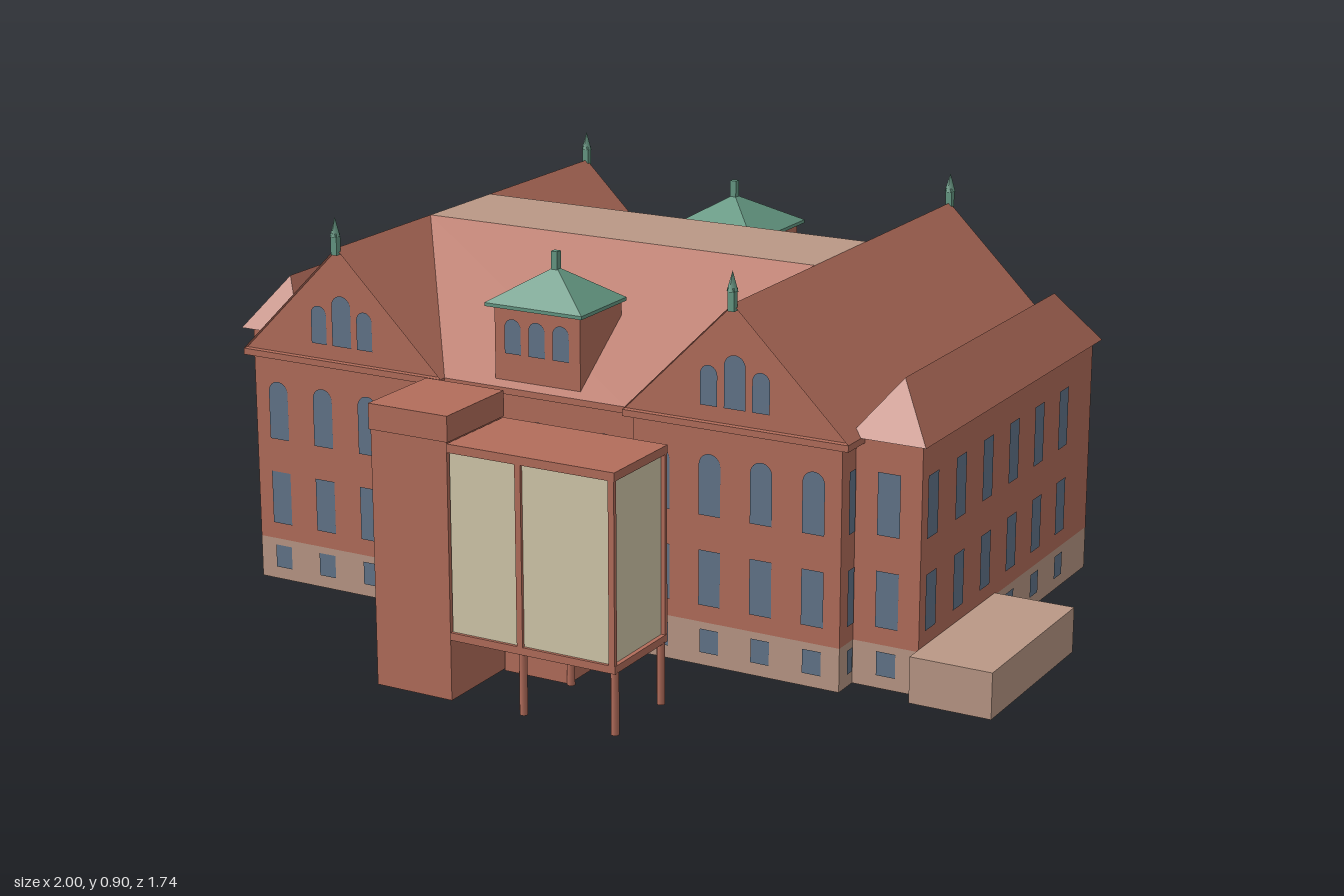
import * as THREE from 'three';

const mat = (name, color) => {
  const m = new THREE.MeshStandardMaterial({ color, side: THREE.DoubleSide });
  m.name = name;
  return m;
};

export function createModel() {
  const root = new THREE.Group();
  root.name = 'schoolhouse';
  const brick = mat('brick', 0xb36d5b), stone = mat('stone', 0xba9886), cream = mat('cream', 0xd3c9ab),
    glass = mat('glass', 0x62758a), copper = mat('copper', 0x659883);
  const CX = -0.105; // axis of the main building
  const EAVE = 0.56, RIDGE = 0.83;

  const add = (name, geo, m, x = 0, y = 0, z = 0) => {
    const mesh = new THREE.Mesh(geo, m);
    mesh.name = name;
    mesh.position.set(x, y, z);
    root.add(mesh);
    return mesh;
  };
  const box = (name, m, x0, x1, y0, y1, z0, z1) =>
    add(name, new THREE.BoxGeometry(x1 - x0, y1 - y0, z1 - z0), m, (x0 + x1) / 2, (y0 + y1) / 2, (z0 + z1) / 2);

  // flat polygons, each a loop of [x, y, z] corners
  const faces = (name, m, polys) => {
    const pos = [];
    for (const p of polys)
      for (let i = 1; i < p.length - 1; i++) pos.push(...p[0], ...p[i], ...p[i + 1]);
    const g = new THREE.BufferGeometry();
    g.setAttribute('position', new THREE.Float32BufferAttribute(pos, 3));
    g.computeVertexNormals();
    return add(name, g, m);
  };
  // upright walls along a closed plan of [x, z] corners
  const walls = (name, m, plan, y0, y1) => faces(name, m, plan.map(([x, z], i) => {
    const [u, w] = plan[(i + 1) % plan.length];
    return [[x, y0, z], [u, y0, w], [u, y1, w], [x, y1, z]];
  }));
  const rect = (x0, x1, z0, z1) => [[x0, z0], [x1, z0], [x1, z1], [x0, z1]];

  // thin window plate, facing the given turn about y
  const pane = (x, z, turn, y0, y1, w, arch = false, m = glass, name = 'window') => {
    const s = new THREE.Shape(), r = w / 2, h = y1 - y0;
    s.moveTo(-r, 0);
    s.lineTo(r, 0);
    if (arch) s.absarc(0, h - r, r, 0, Math.PI, false);
    else { s.lineTo(r, h); s.lineTo(-r, h); }
    s.closePath();
    const d = 0.003;
    const p = add(name, new THREE.ShapeGeometry(s, 8), m, x + Math.sin(turn) * d, y0, z + Math.cos(turn) * d);
    p.rotation.y = turn;
  };
  // column of three windows, basement to upper floor
  const bay = (x, z, turn, arch, w = 0.053) => {
    pane(x, z, turn, 0.03, 0.085, w * 0.85);
    pane(x, z, turn, 0.14, 0.267, w);
    pane(x, z, turn, 0.347, 0.487, w, arch);
  };
  const BACK = Math.PI, SIDE = Math.PI / 2;

  // main walls with a recessed porch at the back
  const front = [[-0.866, 0.42], [-0.36, 0.42], [-0.36, 0.4], [0.15, 0.4], [0.15, 0.42], [0.655, 0.42]];
  walls('mainBase', stone, [...front, [0.655, -0.65], [-0.866, -0.65]], 0, 0.1);
  walls('mainWalls', brick, [...front, [0.655, -0.65], [0.15, -0.65], [0.15, -0.5], [-0.36, -0.5],
    [-0.36, -0.65], [-0.866, -0.65]], 0.1, EAVE);

  // eaves
  box('pavilionEave', brick, -0.885, -0.34, 0.545, EAVE, -0.67, 0.435);
  box('pavilionEave', brick, 0.13, 0.675, 0.545, EAVE, -0.67, 0.435);
  box('centreEave', brick, -0.34, 0.13, 0.545, EAVE, -0.655, 0.417);

  // main roof: flat deck, centre slopes and cross-gabled pavilions
  const xl = CX - 0.51, xr = CX + 0.505;
  faces('roofDeck', stone, [[[xl, RIDGE, 0.05], [xr, RIDGE, 0.05], [xr, RIDGE, -0.21], [xl, RIDGE, -0.21]]]);
  for (const [zd, ze, zg, zw] of [[0.05, 0.417, 0.435, 0.42], [-0.21, -0.655, -0.67, -0.65]]) {
    faces('centreSlope', brick, [[[xl, RIDGE, zd], [-0.34, EAVE, ze], [0.13, EAVE, ze], [xr, RIDGE, zd]]]);
    for (const [xc, xi, xo] of [[xl, -0.34, -0.885], [xr, 0.13, 0.675]]) {
      faces('pavilionInnerSlope', brick, [[[xc, RIDGE, zd], [xc, RIDGE, zg], [xi, EAVE, zg], [xi, EAVE, ze]]]);
      faces('gable', brick, [[[xi, EAVE, zw], [xo, EAVE, zw], [xc, RIDGE, zw]]]);
      const turn = zw > 0 ? 0 : BACK;
      for (const k of [-1, 0, 1]) pane(xc + k * 0.063, zw, turn, 0.595, k ? 0.685 : 0.715, k ? 0.042 : 0.052, true);
      // finials
      add('gableFinialBase', new THREE.BoxGeometry(0.016, 0.05, 0.016), copper, xc, 0.84, zg);
      add('gableFinialSpire', new THREE.ConeGeometry(0.014, 0.045, 4), copper, xc, 0.88, zg);
    }
  }
  for (const [xc, xo] of [[xl, -0.885], [xr, 0.675]])
    faces('pavilionOuterSlope', brick, [[[xc, RIDGE, 0.435], [xc, RIDGE, -0.67], [xo, EAVE, -0.67], [xo, EAVE, 0.435]]]);

  // side blocks with hipped roofs
  const sideBlock = (x0, x1, z0, z1, xa, xb, ridgeX) => {
    walls('sideBase', stone, rect(x0, x1, z0, z1), 0, 0.1);
    walls('sideWalls', brick, rect(x0, x1, z0, z1), 0.1, EAVE);
    const e = 0.02, a = z0 - e, b = z1 + e, ra = a + 0.085, rb = b - 0.085, t = 0.68;
    const A = [xa, EAVE, a], B = [xb, EAVE, a], C = [xb, EAVE, b], D = [xa, EAVE, b];
    const P = [ridgeX, t, ra], Q = [ridgeX, t, rb];
    faces('sideRoof', brick, [[A, B, P], [B, C, Q, P], [C, D, Q], [D, A, P, Q], [A, B, C, D]]);
  };
  sideBlock(-0.98, -0.866, -0.555, 0.27, -1, -0.83, -0.915);
  sideBlock(0.655, 0.81, -0.59, 0.355, 0.645, 0.825, 0.735);

  // windows
  for (const k of [0, 1, 2, 3]) {
    const x = -0.8 + k * 0.125;
    for (const u of [x, 2 * CX - x]) {
      bay(u, 0.42, 0, true);
      bay(u, -0.65, BACK, true);
    }
  }
  bay(-0.275, 0.4, 0, true);
  bay(0.065, 0.4, 0, true);
  bay(CX, 0.4, 0, true);
  bay(-0.925, 0.27, 0, false);
  bay(-0.925, -0.555, BACK, false);
  bay(0.735, 0.355, 0, false);
  bay(0.735, -0.59, BACK, false);
  for (let k = 0; k < 6; k++) {
    bay(0.81, 0.305 - k * 0.144, SIDE, false);
    bay(-0.98, 0.21 - k * 0.14, -SIDE, false);
  }
  for (const z of [0.375, -0.606]) {
    bay(0.655, z, SIDE, false, 0.03);
    bay(-0.866, z, -SIDE, false, 0.045);
  }

  // dormers with copper pyramid roofs
  for (const [z0, z1, a, b, turn] of [[0.22, 0.4, 0.22, 0.415, 0], [-0.64, -0.4, -0.655, -0.38, BACK]]) {
    box('dormer', brick, -0.215, 0.005, EAVE, 0.745, z0, z1);
    for (const k of [-1, 0, 1]) pane(CX + k * 0.062, turn ? z0 : z1, turn, 0.635, 0.715, 0.042, true);
    const zc = (a + b) / 2, x0 = -0.232, x1 = 0.018, y = 0.748;
    box('dormerEave', copper, x0, x1, 0.74, y, a, b);
    const c = rect(x0, x1, a, b).map(([x, z]) => [x, y, z]);
    faces('dormerRoof', copper, c.map((p, i) => [p, c[(i + 1) % 4], [CX, 0.825, zc]]));
    box('dormerFinial', copper, CX - 0.008, CX + 0.008, 0.81, 0.86, zc - 0.008, zc + 0.008);
  }

  // back porch: floors, posts, beams and doors
  box('porchFloor', stone, -0.36, 0.15, 0.09, 0.11, -0.65, -0.5);
  box('porchGallery', brick, -0.36, 0.15, 0.285, 0.315, -0.645, -0.5);
  box('porchRail', brick, -0.36, 0.15, 0.36, 0.375, -0.645, -0.63);
  box('porchBeam', brick, -0.36, 0.15, 0.51, 0.55, -0.645, -0.615);
  for (const x of [-0.345, -0.19, -0.02, 0.135])
    box('porchPost', brick, x - 0.014, x + 0.014, 0.11, 0.55, -0.645, -0.617);
  pane(CX, -0.5, BACK, 0.11, 0.26, 0.13, false, cream, 'porchDoor');
  for (const x of [-0.275, 0.065]) pane(x, -0.5, BACK, 0.14, 0.267, 0.07, false, cream, 'porchPanel');
  for (const x of [-0.275, CX, 0.065]) pane(x, -0.5, BACK, 0.347, 0.487, 0.06, true);

  // back stairs
  for (const x of [-0.225, -0.015]) box('stairCheek', stone, x, x + 0.025, 0, 0.125, -0.875, -0.65);
  for (let i = 0; i < 6; i++) {
    const z = -0.65 - i * 0.034, y = 0.1 - i * 0.0165;
    box('stairStep', stone, -0.2, -0.015, y - 0.018, y, z - 0.034, z);
  }

  // low side annex, open below
  walls('annexWalls', stone, rect(0.81, 1, -0.05, 0.4), 0, 0.105);
  faces('annexRoof', stone, [rect(0.81, 1, -0.05, 0.4).map(([x, z]) => [x, 0.105, z])]);

  // front tower and link corridor
  box('tower', brick, -0.232, -0.042, 0, 0.575, 0.648, 0.862);
  box('towerCap', brick, -0.235, -0.038, 0.575, 0.632, 0.645, 0.865);
  box('linkCorridor', brick, -0.036, 0.126, 0, 0.125, 0.4, 0.66);

  // raised cream hall on legs
  box('hallFloor', brick, -0.04, 0.362, 0.138, 0.155, 0.645, 0.865);
  box('hallPanels', cream, -0.038, 0.352, 0.155, 0.555, 0.652, 0.858);
  box('hallRoof', brick, -0.04, 0.362, 0.553, 0.572, 0.645, 0.865);
  for (const z of [0.65, 0.86]) {
    for (const x of [0.132, 0.354]) {
      box('hallPost', brick, x - 0.007, x + 0.007, 0.155, 0.555, z - 0.005, z + 0.005);
      add('hallLeg', new THREE.CylinderGeometry(0.009, 0.009, 0.14, 10), brick, x, 0.07, z > 0.8 ? 0.852 : 0.66);
    }
  }
  return root;
}
